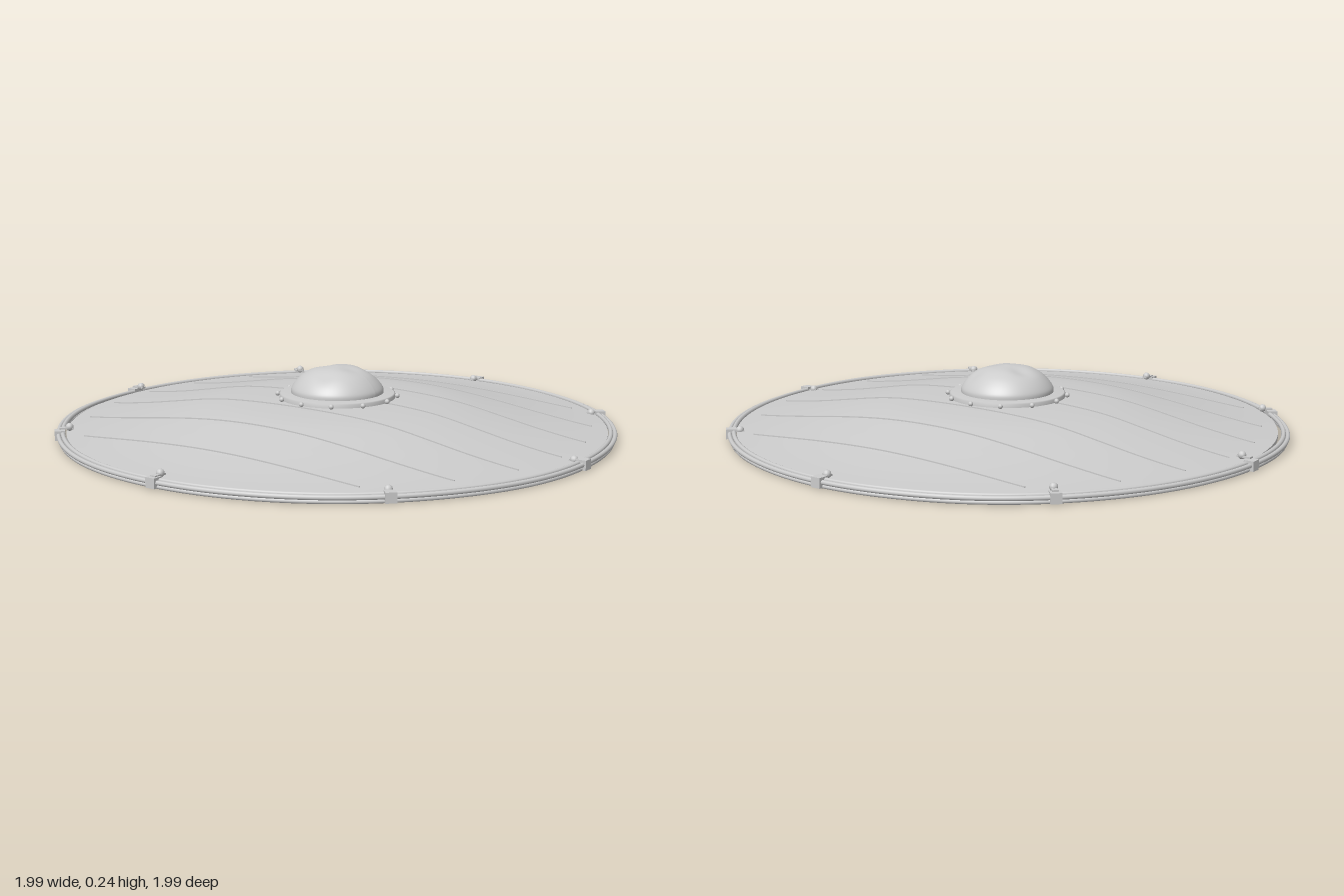
import * as THREE from 'three';

const material = new THREE.MeshStandardMaterial({ color: 0xcccccc, side: THREE.DoubleSide });
const V2 = (p) => new THREE.Vector2(p[0], p[1]);

// Height of the domed board face at radius r: a broad crown flattening out toward the edge
const facePoints = [[0, 0.136], [0.2, 0.134], [0.35, 0.126], [0.46, 0.113], [0.6, 0.087], [0.72, 0.065], [0.85, 0.046], [0.957, 0.035]];
const faceProfile = new THREE.SplineCurve(facePoints.map(V2)).getPoints(48);
const boardThickness = 0.016;
function faceHeight(r) {
  const i = Math.max(1, faceProfile.findIndex((p) => p.x >= r));
  const a = faceProfile[i - 1], b = faceProfile[i];
  return a.y + (b.y - a.y) * (r - a.x) / (b.x - a.x);
}

// Rim radius bulges in places, as if bent by hand: [angle, width, amount]
const rimBulges = [[1.82, 0.25, 0.008], [3.5, 0.3, 0.004], [4.35, 0.35, 0.011], [5.75, 0.3, 0.006], [0, 0.2, 0.005], [Math.PI * 2, 0.2, 0.005]];
function rimRadius(a) {
  return rimBulges.reduce((r, [at, width, amount]) => r + amount * Math.exp(-(((a - at) / width) ** 2)), 0.988);
}

export function createModel() {
  const shield = new THREE.Group();
  shield.name = 'roundShield';
  const add = (name, geometry, parent = shield) => {
    const mesh = new THREE.Mesh(geometry, material);
    mesh.name = name;
    parent.add(mesh);
    return mesh;
  };

  // Domed board of even thickness: face, edge and hollow back
  const edge = [V2([0.957, 0.035 - boardThickness]), V2([0.957, 0.035])];
  const backProfile = faceProfile.map((p) => new THREE.Vector2(p.x, p.y - boardThickness));
  add('boardFace', new THREE.LatheGeometry([...faceProfile].reverse(), 96));
  add('boardEdge', new THREE.LatheGeometry(edge, 96));
  add('boardBack', new THREE.LatheGeometry(backProfile, 96));

  // Plank seams: thin ridges following the dome
  for (let i = -3; i <= 3; i++) {
    const x = i * 0.23;
    const half = Math.sqrt(0.9 * 0.9 - x * x);
    const seam = new THREE.BoxGeometry(0.003, 0.008, half * 2, 1, 1, 48);
    const p = seam.attributes.position;
    for (let k = 0; k < p.count; k++) {
      p.setY(k, p.getY(k) + faceHeight(Math.hypot(x, p.getZ(k))));
    }
    seam.computeVertexNormals();
    add('plankSeam', seam).position.x = x;
  }

  // Rim of bundled strands: [inset from outer line, height, strand radius]
  for (const [inset, y, radius] of [[0.007, 0.031, 0.008], [0.022, 0.036, 0.008], [0.012, 0.017, 0.007]]) {
    const points = [];
    for (let i = 0; i < 48; i++) {
      const a = (i / 48) * Math.PI * 2;
      const r = rimRadius(a) - inset;
      points.push(new THREE.Vector3(r * Math.cos(a), y, r * Math.sin(a)));
    }
    add('rimStrand', new THREE.TubeGeometry(new THREE.CatmullRomCurve3(points, true), 160, radius, 8, true));
  }

  // Eight clamps with a bolt head on the board, riding a little higher at the back
  for (let i = 0; i < 8; i++) {
    const clamp = new THREE.Group();
    clamp.name = 'rimClamp';
    const a = (i / 8) * Math.PI * 2;
    clamp.rotation.y = -a;
    const r = rimRadius(a);
    const boltY = 0.049 - 0.009 * Math.sin(a) - 0.003 * Math.cos(a);
    add('clampPlate', new THREE.BoxGeometry(0.036, 0.034, 0.036), clamp).position.set(r - 0.012, 0.03, 0);
    add('clampTab', new THREE.BoxGeometry(0.05, 0.006, 0.02), clamp).position.set(0.955, boltY - 0.004, 0);
    add('clampBolt', new THREE.SphereGeometry(0.014, 12, 8), clamp).position.set(0.945, boltY, 0);
    shield.add(clamp);
  }

  // Boss flange
  add('bossFlange', new THREE.LatheGeometry(
    [[0.207, 0.128], [0.207, 0.146], [0.202, 0.15], [0.155, 0.152]].map(V2), 64));

  // Hammered boss dome with shallow dents: [x, z, depth]
  const domeProfile = new THREE.SplineCurve(
    [[0.165, 0.148], [0.163, 0.168], [0.143, 0.196], [0.113, 0.221], [0.07, 0.239], [0, 0.247]].map(V2)).getPoints(28);
  const dome = new THREE.LatheGeometry(domeProfile, 64);
  const dents = [[0.02, -0.075, 0.009], [0, 0.065, 0.005], [-0.1, 0.02, 0.006], [0.1, 0.07, 0.006]];
  const d = dome.attributes.position;
  for (let k = 0; k < d.count; k++) {
    for (const [x, z, depth] of dents) {
      d.setY(k, d.getY(k) - depth * Math.exp(-((d.getX(k) - x) ** 2 + (d.getZ(k) - z) ** 2) / 0.0012));
    }
  }
  dome.computeVertexNormals();
  add('bossDome', dome);

  // Rivets around the flange
  for (let i = 0; i < 12; i++) {
    const a = (i / 12) * Math.PI * 2;
    add('bossRivet', new THREE.SphereGeometry(0.009, 10, 8)).position.set(0.214 * Math.cos(a), 0.141, 0.214 * Math.sin(a));
  }

  // Flat strap across the hollow back between two clamps, deepest at its middle
  const strapLength = 1.26;
  const strap = new THREE.BoxGeometry(strapLength, 1, 0.006, 24, 1, 1);
  const s = strap.attributes.position;
  for (let k = 0; k < s.count; k++) {
    const height = 0.006 + 0.026 * Math.cos((s.getX(k) / strapLength) * Math.PI);
    s.setY(k, 0.016 + (s.getY(k) + 0.5) * height);
  }
  strap.computeVertexNormals();
  const backStrap = add('backStrap', strap);
  backStrap.position.set(-0.52, 0, 0.46);
  backStrap.rotation.y = -0.8;

  return shield;
}
